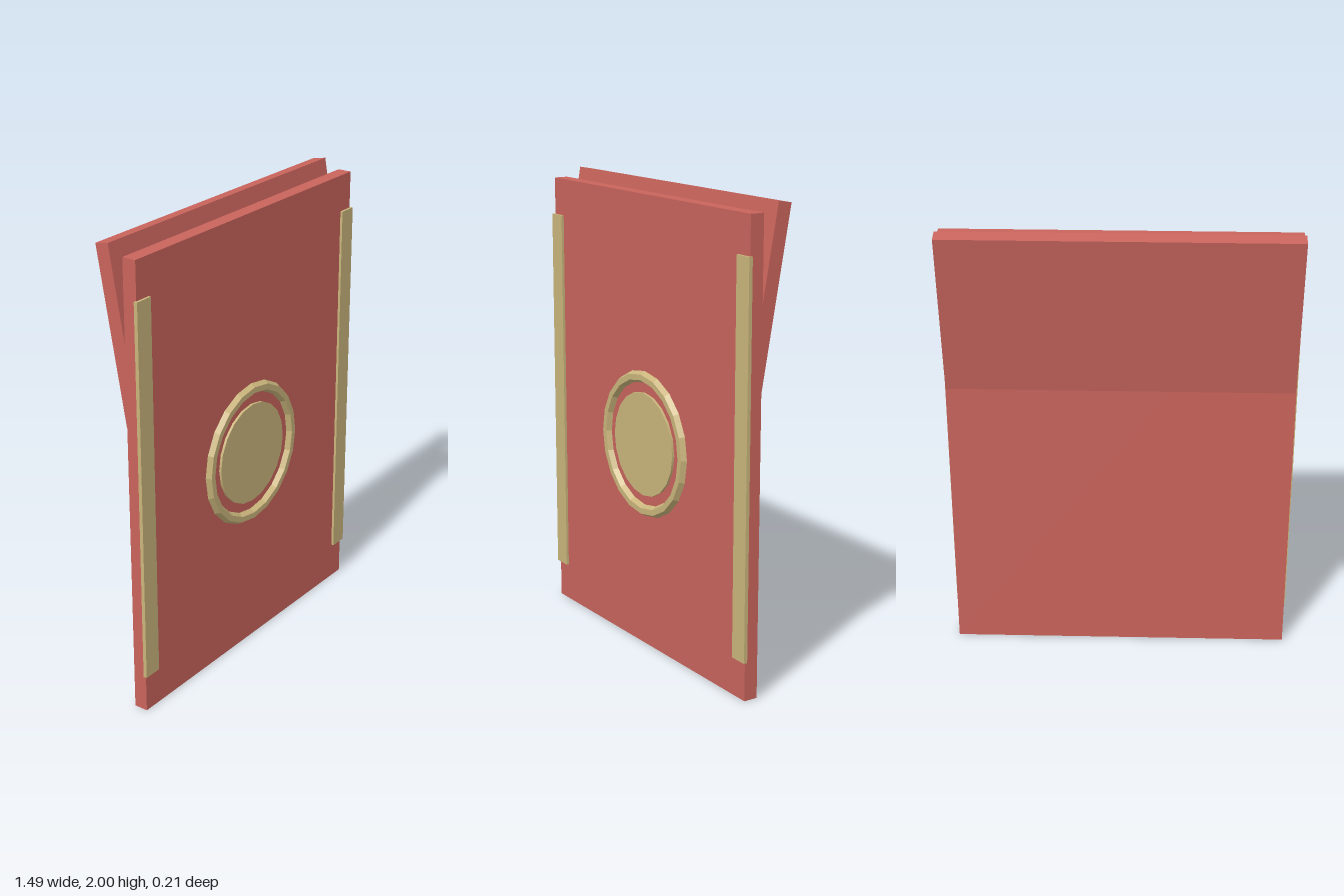
import * as THREE from 'three';

export function createModel() {
  const model = new THREE.Group();
  model.name = 'panelWithFlap';
  const red = new THREE.MeshStandardMaterial({ color: 0xc9645c });
  red.name = 'red';
  const gold = new THREE.MeshStandardMaterial({ color: 0xc9b47b });
  gold.name = 'gold';

  function add(name, geometry, material, x, y, z) {
    const mesh = new THREE.Mesh(geometry, material);
    mesh.name = name;
    mesh.position.set(x, y, z);
    model.add(mesh);
    return mesh;
  }

  // Upright slab and the flap leaning back from its upper half
  add('panel', new THREE.BoxGeometry(1.47, 1.96, 0.061), red, 0, 0.98, 0.0545);
  const flap = add('backFlap', new THREE.BoxGeometry(1.468, 0.735, 0.061), red, 0, 1.633, -0.0115);
  flap.rotation.x = -THREE.MathUtils.degToRad(10);

  // Trim strips overhanging both side edges
  for (const [name, side] of [['leftStrip', 1], ['rightStrip', -1]]) {
    add(name, new THREE.BoxGeometry(0.082, 1.633, 0.016), gold, side * 0.703, 0.983, 0.088);
  }

  // Round emblem: faceted ring around a flat disc
  const ring = new THREE.TorusGeometry(0.293, 0.025, 6, 20).toNonIndexed();
  ring.computeVertexNormals();
  add('ring', ring, gold, 0, 0.902, 0.085);
  const disc = new THREE.CylinderGeometry(0.225, 0.225, 0.016, 20).rotateX(Math.PI / 2);
  add('disc', disc, gold, 0, 0.902, 0.088);

  return model;
}
